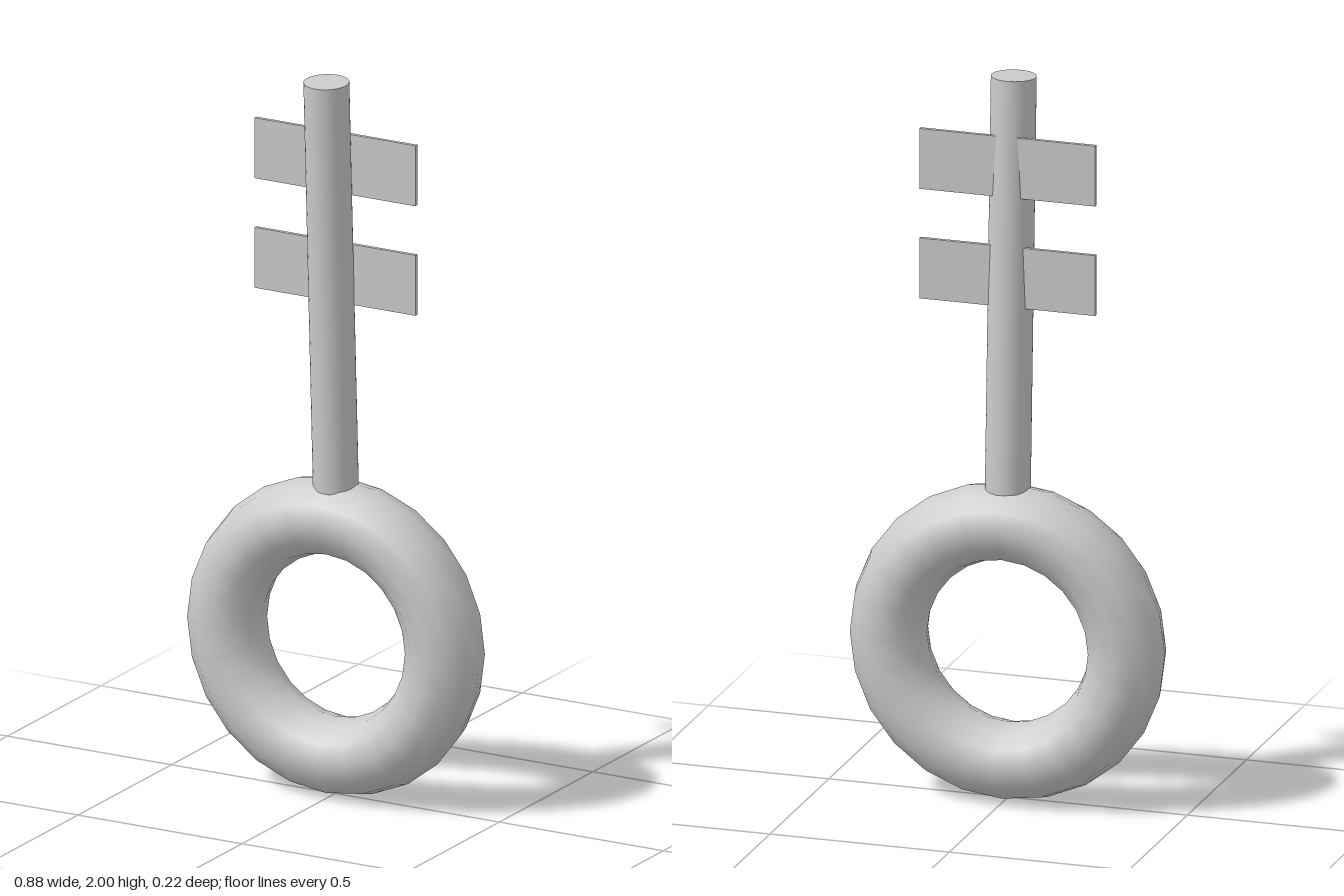
import * as THREE from 'three';

export function createModel() {
  const group = new THREE.Group();
  const material = new THREE.MeshStandardMaterial({ color: 0xcccccc });
  const add = (name, geometry, x, y, z) => {
    const mesh = new THREE.Mesh(geometry, material);
    mesh.name = name;
    mesh.position.set(x, y, z);
    group.add(mesh);
    return mesh;
  };

  // Ring-shaped handle
  add('ringHandle', new THREE.TorusGeometry(0.332, 0.106, 12, 24), -0.002, 0.441, -0.007);

  // Round shaft, leaning slightly forward, its foot sunk into the ring
  const foot = new THREE.Vector3(0, 0.8, -0.005);
  const tip = new THREE.Vector3(0, 1.997, 0.048);
  const shaft = add('shaft', new THREE.CylinderGeometry(0.061, 0.061, foot.distanceTo(tip), 32),
    0, (foot.y + tip.y) / 2, (foot.z + tip.z) / 2);
  shaft.rotation.x = Math.atan2(tip.z - foot.z, tip.y - foot.y);

  // Two thin upright plates crossing the shaft
  for (const [name, y] of [['lowerTooth', 1.455], ['upperTooth', 1.76]]) {
    add(name, new THREE.BoxGeometry(0.49, 0.168, 0.011), -0.002, y, -0.007);
  }

  return group;
}
